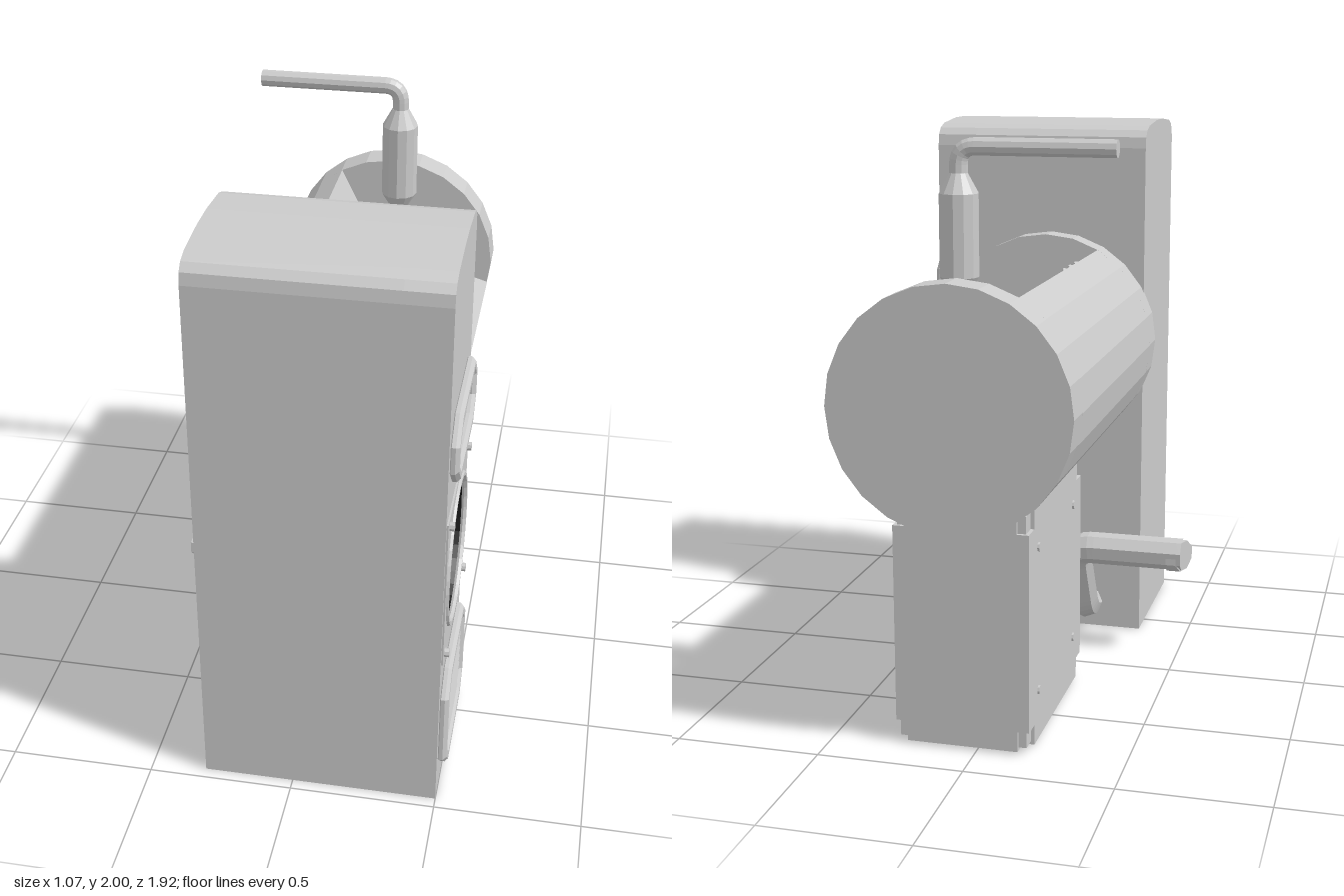
import * as THREE from 'three';

const grey = new THREE.MeshStandardMaterial({ color: 0xcccccc, flatShading: true });
const dark = new THREE.MeshStandardMaterial({ color: 0x161616, flatShading: true, side: THREE.DoubleSide });
const V = (x, y, z) => new THREE.Vector3(x, y, z);

function add(parent, name, geo, x = 0, y = 0, z = 0, mat = grey) {
  const m = new THREE.Mesh(geo, mat);
  m.name = name;
  m.position.set(x, y, z);
  parent.add(m);
  return m;
}

function group(parent, name, x = 0, y = 0, z = 0) {
  const g = new THREE.Group();
  g.name = name;
  g.position.set(x, y, z);
  parent.add(g);
  return g;
}

const extrude = (shape, depth, opts = {}) =>
  new THREE.ExtrudeGeometry(shape, { depth, bevelEnabled: false, curveSegments: 16, ...opts });

// Rectangle with cut corners
function octagon(w, h, c) {
  const a = w / 2, b = h / 2;
  return [[a - c, -b], [a, c - b], [a, b - c], [a - c, b], [c - a, b], [-a, b - c], [-a, c - b], [c - a, -b]]
    .map(([x, y]) => new THREE.Vector2(x, y));
}

// Bevelled raised frame around an opening, in the local XY plane
function frame(w, h, c, border) {
  const bv = 0.012;
  const s = new THREE.Shape(octagon(w - 2 * bv, h - 2 * bv, c));
  const iw = w - 2 * border + 2 * bv, ih = h - 2 * border + 2 * bv;
  s.holes.push(new THREE.Path(octagon(iw, ih, c * 0.75).reverse()));
  return extrude(s, 0.013, { bevelEnabled: true, bevelSize: bv, bevelThickness: bv, bevelSegments: 1 });
}

// Pipe through points with rounded corners
function pipe(points, r, bend, sides = 10) {
  const path = new THREE.CurvePath();
  let last = points[0];
  for (let i = 1; i < points.length - 1; i++) {
    const p = points[i];
    const a = p.clone().add(points[i - 1].clone().sub(p).setLength(bend));
    const b = p.clone().add(points[i + 1].clone().sub(p).setLength(bend));
    path.add(new THREE.LineCurve3(last, a));
    path.add(new THREE.QuadraticBezierCurve3(a, p, b));
    last = b;
  }
  path.add(new THREE.LineCurve3(last, points[points.length - 1]));
  return new THREE.TubeGeometry(path, 40, r, sides, false);
}

function buildTower(root) {
  // Local x runs towards the back, local z runs out of the +x side
  const tower = group(root, 'tower', 0, 0, 0.675);
  tower.rotation.y = Math.PI / 2;
  const outline = () => new THREE.Shape([
    [-0.285, 0], [0.285, 0], [0.285, 1.9], [0.278, 1.94], [0.255, 1.965], [0.21, 1.98], [0.06, 1.993],
    [-0.06, 1.993], [-0.21, 1.98], [-0.255, 1.965], [-0.278, 1.94], [-0.285, 1.9],
  ].map(([x, y]) => new THREE.Vector2(x, y)));
  const cy = 0.86, r = 0.245;
  const circle = y => new THREE.Path().absarc(0, y, r, 0, Math.PI * 2, true);
  add(tower, 'towerBody', extrude(outline(), 0.66), 0, 0, -0.31);
  const face = outline();
  face.holes.push(circle(cy));
  add(tower, 'towerOpenSide', extrude(face, 0.15), 0, 0, 0.35);

  // Round dark opening with its square plate, rim and bolts
  const cup = new THREE.LatheGeometry(
    [[0, 0], [0.2, 0], [r - 0.002, 0.15]].map(p => new THREE.Vector2(...p)), 32);
  add(tower, 'darkOpening', cup, 0, cy, 0.352, dark).rotation.x = Math.PI / 2;
  const plate = new THREE.Shape([[-0.272, -0.278], [0.272, -0.278], [0.272, 0.278], [-0.272, 0.278]]
    .map(p => new THREE.Vector2(...p)));
  plate.holes.push(circle(0));
  add(tower, 'squarePlate', extrude(plate, 0.006), 0, cy, 0.5);
  add(tower, 'openingRim', new THREE.TorusGeometry(r + 0.004, 0.012, 6, 32), 0, cy, 0.504);
  for (const sx of [-1, 1]) for (const sy of [-1, 1]) {
    add(tower, 'plateBolt', new THREE.CylinderGeometry(0.015, 0.015, 0.02, 8),
      sx * 0.235, cy + sy * 0.252, 0.512).rotation.x = Math.PI / 2;
  }

  // Upper window and lower louvred vent
  add(tower, 'windowFrame', frame(0.51, 0.25, 0.07, 0.045), 0, 1.365, 0.503);
  add(tower, 'windowPanel', new THREE.BoxGeometry(0.43, 0.17, 0.006), 0, 1.365, 0.502);
  add(tower, 'ventFrame', frame(0.51, 0.42, 0.07, 0.05), 0, 0.285, 0.503);
  for (let i = 0; i < 9; i++) {
    add(tower, 'ventSlat', new THREE.BoxGeometry(0.41, 0.036, 0.008), 0, 0.145 + i * 0.035, 0.508).rotation.x = -0.4;
  }
}

function buildDrum(root) {
  const cx = 0.05, cy = 1.175, R = 0.405;
  const drum = group(root, 'drum');
  const arc = (a, b, n) => Array.from({ length: n + 1 }, (_, i) => {
    const t = a + (b - a) * i / n;
    return new THREE.Vector2(cx + R * Math.cos(t), cy + R * Math.sin(t));
  });
  const disc = new THREE.Shape(arc(0, Math.PI * 2, 24).slice(0, -1));
  add(drum, 'frontDisc', extrude(disc, 0.11), 0, 0, 0.295);
  add(drum, 'backDisc', extrude(disc, 0.12), 0, 0, -0.96);
  // Barrel with an angular notch cut in its upper +x side
  const barrel = new THREE.Shape([...arc(2.088, 6.06, 15), new THREE.Vector2(0, 1.22)]);
  add(drum, 'notchedBarrel', extrude(barrel, 1.135), 0, 0, -0.84);

  // Long raised frame lying on the sloping floor of the notch
  const floor = group(drum, 'floorHatch', 0.268, 1.144, -0.165);
  floor.rotation.z = -0.284;
  add(floor, 'hatchFrame', frame(0.25, 0.77, 0.065, 0.05)).rotation.x = -Math.PI / 2;

  // Three short cylinders on the sloping wall of the notch
  for (const z of [0.01, 0.1, 0.19]) {
    add(drum, 'wallCylinder', new THREE.CylinderGeometry(0.038, 0.038, 0.21, 10), -0.072, 1.385, z)
      .rotation.z = Math.atan2(0.15, 0.3);
  }
}

function buildPipes(root) {
  // Exhaust: stem, fat silencer, then an elbow towards -x
  const exhaust = group(root, 'exhaust', 0.11, 0, -0.615);
  const profile = [[0.036, 1.15], [0.036, 1.5], [0.066, 1.55], [0.066, 1.82], [0.03, 1.885], [0, 1.885]];
  add(exhaust, 'silencer', new THREE.LatheGeometry(profile.map(p => new THREE.Vector2(...p)), 12));
  add(exhaust, 'exhaustElbow', pipe([V(0, 1.85, 0), V(0, 1.97, 0), V(-0.52, 1.97, 0)], 0.03, 0.06));
  add(exhaust, 'exhaustEnd', new THREE.CylinderGeometry(0.03, 0.03, 0.01, 10), -0.516, 1.97, 0)
    .rotation.z = Math.PI / 2;
  // Small elbow from the floor into the back disc
  add(root, 'smallElbow', pipe([V(0.1, 1.15, -0.7), V(0.1, 1.345, -0.7), V(0.1, 1.345, -0.86)], 0.035, 0.08));

  // Lower pipe rising out of the tower back and turning to -x
  const low = group(root, 'lowerPipe');
  add(low, 'lowerPipeBend', pipe(
    [V(-0.1, 0.1, 0.45), V(-0.1, 0.1, 0.33), V(-0.1, 0.4, 0.165), V(-0.515, 0.4, 0.165)], 0.06, 0.07, 8));
  // Slanted closed end
  const end = new THREE.CylinderGeometry(0.06, 0.06, 0.06, 8).rotateZ(Math.PI / 2).rotateX(Math.PI / 8);
  const p = end.attributes.position;
  for (let i = 0; i < p.count; i++) {
    if (p.getX(i) < 0) p.setX(i, -0.03 - p.getZ(i) * 0.4);
  }
  add(low, 'lowerPipeEnd', end, -0.49, 0.395, 0.165);
}

function buildCabinet(root) {
  const cab = group(root, 'cabinet', 0.05, 0.42, -0.47);
  const [w, h, d] = [0.46, 0.82, 0.74], c = 0.14;
  // Three crossing boxes leave the eight corners open for inset blocks
  add(cab, 'cabinetBody', new THREE.BoxGeometry(w, h, d - c));
  add(cab, 'cabinetBody', new THREE.BoxGeometry(w, h - c, d));
  add(cab, 'cabinetBody', new THREE.BoxGeometry(w - 0.08, h, d));
  add(cab, 'cornerBlocks', new THREE.BoxGeometry(w - 0.024, h - 0.024, d - 0.024));
  for (const sx of [-1, 1]) for (const y of [-0.235, 0.265]) for (const z of [-0.247, 0.247]) {
    add(cab, 'cabinetBolt', new THREE.CylinderGeometry(0.016, 0.016, 0.014, 8), sx * w / 2, y, z)
      .rotation.z = Math.PI / 2;
  }
  // Neck joining the cabinet to the drum
  add(cab, 'cabinetNeck', new THREE.BoxGeometry(w - 0.08, 0.1, d - c), 0, 0.44, 0);
}

export function createModel() {
  const root = new THREE.Group();
  root.name = 'machine';
  buildTower(root);
  buildDrum(root);
  buildPipes(root);
  buildCabinet(root);
  return root;
}
